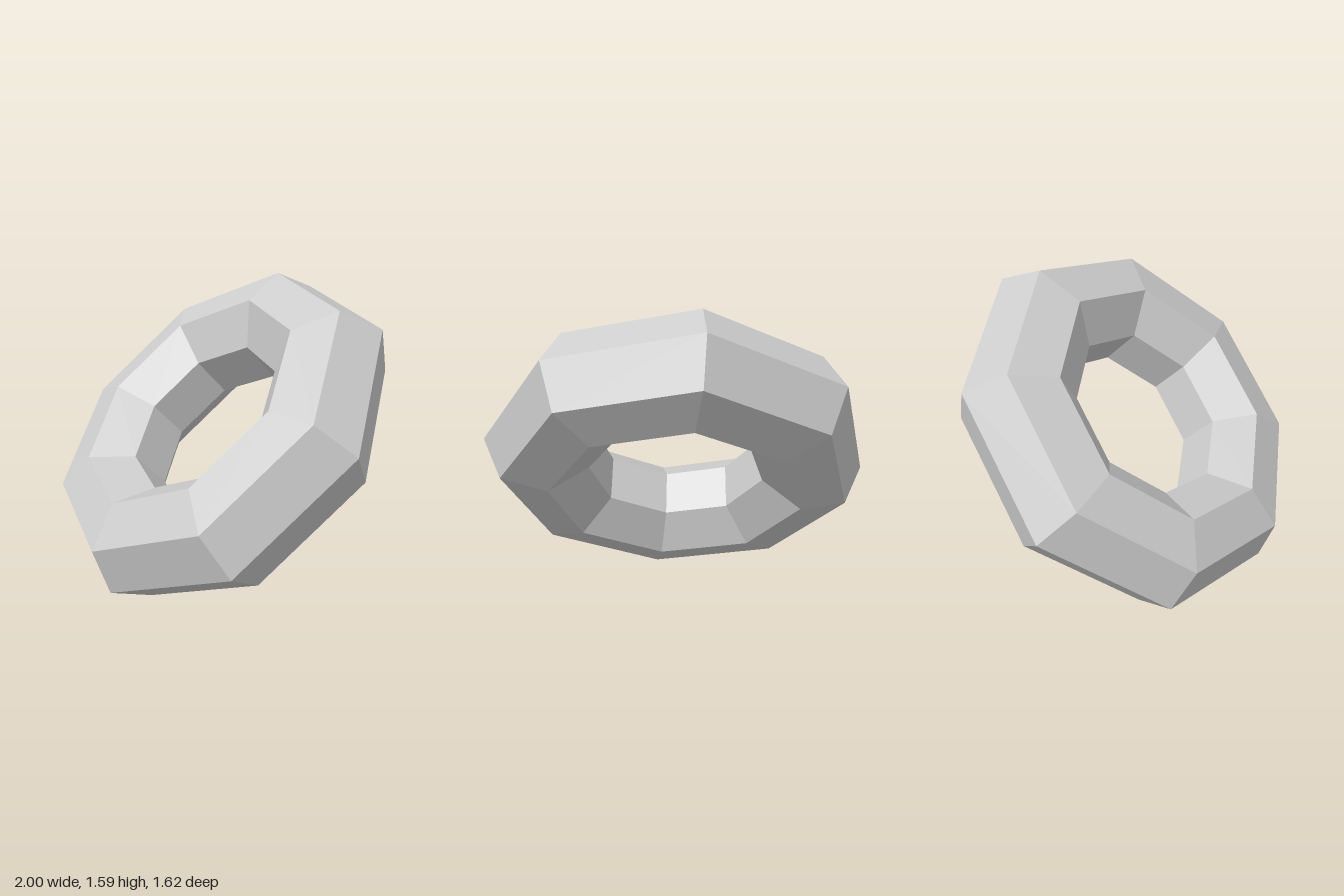
import * as THREE from 'three';

export function createModel() {
  const group = new THREE.Group();
  group.name = 'tiltedRing';

  const lightGrey = new THREE.MeshStandardMaterial({ color: 0xcccccc, flatShading: true });
  lightGrey.name = 'light grey';

  // Low-poly ring: seven-sided tube swept around an octagon, an outer corner on +x
  const ring = new THREE.Mesh(new THREE.TorusGeometry(0.728, 0.294, 7, 8).toNonIndexed(), lightGrey);
  ring.geometry.computeVertexNormals();
  ring.name = 'ring';

  // Tilt: one outer corner points along "side", the hole faces up and forward
  const side = new THREE.Vector3(0.98, 0.098, 0.172).normalize();
  const axis = new THREE.Vector3(-0.19, 0.712, 0.676).normalize();
  const up = new THREE.Vector3().crossVectors(axis, side).normalize();
  axis.crossVectors(side, up);
  ring.quaternion.setFromRotationMatrix(new THREE.Matrix4().makeBasis(side, up, axis));
  ring.position.y = 0.8;

  group.add(ring);
  return group;
}
